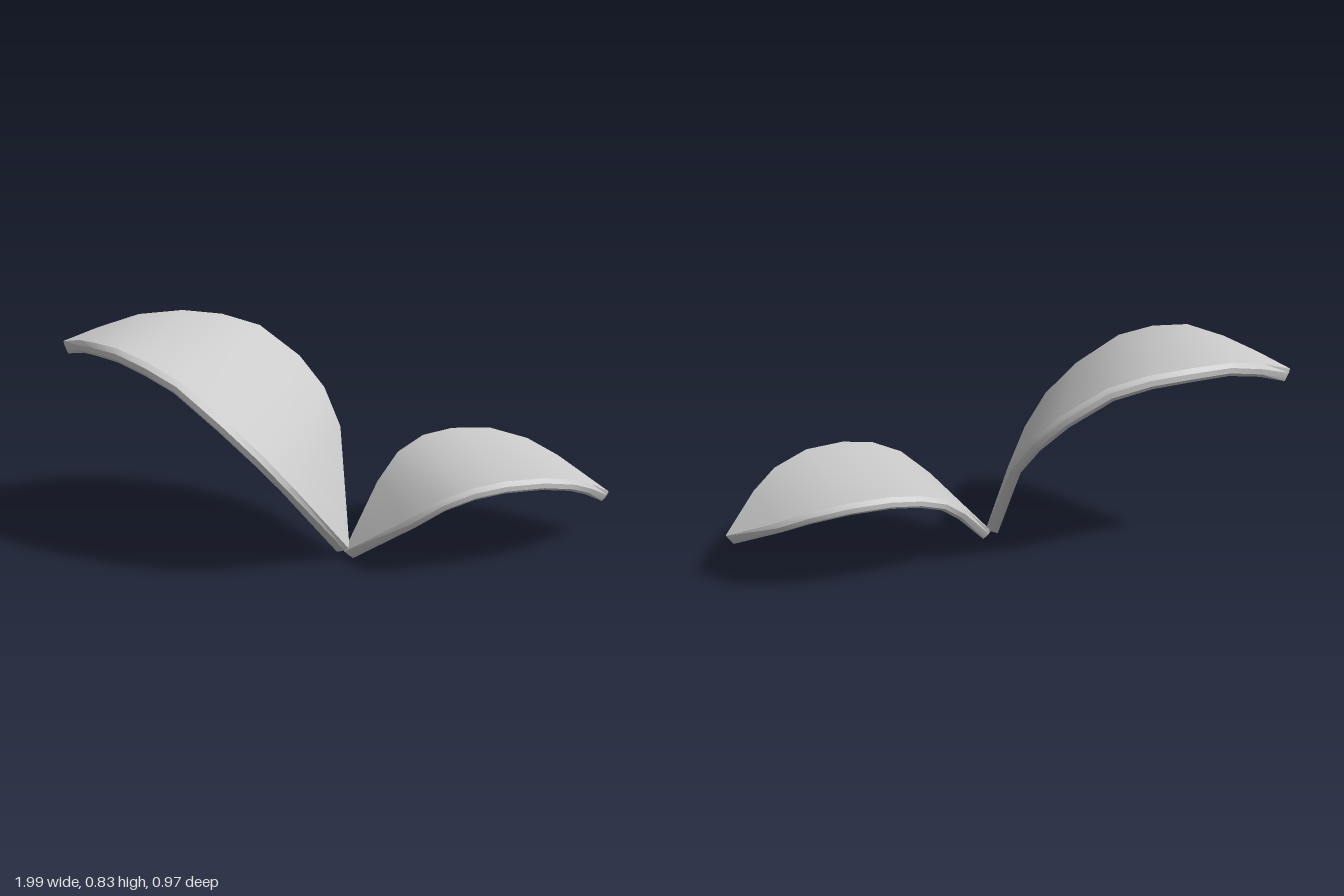
import * as THREE from 'three';
import { toCreasedNormals } from 'three/addons/utils/BufferGeometryUtils.js';

// A leaf is a thick bent sheet. Each station holds the two rim points of the
// upper surface; the sheet is straight between them.
function leafGeometry(stations, thickness, bevel) {
  const V = (x, y, z) => new THREE.Vector3(x, y, z);
  const rims = stations.map(s => [V(...s[0]), V(...s[1])]);
  const mids = rims.map(([a, b]) => a.clone().add(b).multiplyScalar(0.5));
  const last = rims.length - 1;
  const positions = [], index = [];

  rims.forEach(([a, b], i) => {
    const across = b.clone().sub(a);
    const width = across.length();
    across.normalize();
    const along = mids[Math.min(i + 1, last)].clone().sub(mids[Math.max(i - 1, 0)]);
    const normal = across.clone().cross(along).normalize();
    const inset = Math.min(bevel, width * 0.3);
    // bevelled cross-section: [distance across, depth]
    const section = [
      [inset, 1], [width - inset, 1], [width, 0.7], [width, 0.3],
      [width - inset, 0], [inset, 0], [0, 0.3], [0, 0.7],
    ];
    for (const [s, h] of section) {
      const p = a.clone().addScaledVector(across, s).addScaledVector(normal, -h * thickness);
      positions.push(p.x, p.y, p.z);
    }
  });

  const n = 8;
  for (let i = 0; i < last; i++) {
    for (let j = 0; j < n; j++) {
      const a = i * n + j, b = i * n + (j + 1) % n;
      index.push(a, a + n, b, b, a + n, b + n);
    }
  }
  // end caps
  const e = last * n;
  for (let j = 1; j < n - 1; j++) {
    index.push(0, j, j + 1, e, e + j + 1, e + j);
  }

  const geometry = new THREE.BufferGeometry();
  geometry.setAttribute('position', new THREE.Float32BufferAttribute(positions, 3));
  geometry.setIndex(index);
  return toCreasedNormals(geometry, THREE.MathUtils.degToRad(32));
}

export function createModel() {
  const group = new THREE.Group();
  const material = new THREE.MeshStandardMaterial({ color: 0xcccccc });
  const addLeaf = (name, stations, thickness) => {
    const mesh = new THREE.Mesh(leafGeometry(stations, thickness, 0.018), material);
    mesh.name = name;
    group.add(mesh);
  };

  // small leaf: x, y, back z, front z
  const small = [
    [-0.045, 0.03, 0.153, 0.167],
    [0.13, 0.225, -0.04, 0.39],
    [0.23, 0.312, -0.11, 0.45],
    [0.34, 0.359, -0.145, 0.475],
    [0.46, 0.377, -0.15, 0.48],
    [0.61, 0.372, -0.135, 0.468],
    [0.75, 0.335, -0.08, 0.42],
    [0.85, 0.282, -0.005, 0.35],
    [0.99, 0.185, 0.183, 0.197],
  ].map(([x, y, back, front]) => [[x, y, back], [x, y, front]]);
  addLeaf('smallLeaf', small, 0.045);

  // large leaf: front rim point, back rim point
  addLeaf('largeLeaf', [
    [[-0.03, 0.04, 0.17], [-0.022, 0.04, 0.155]],
    [[-0.28, 0.375, 0.355], [0.02, 0.42, -0.15]],
    [[-0.38, 0.5, 0.375], [-0.02, 0.55, -0.25]],
    [[-0.5, 0.625, 0.34], [-0.1, 0.66, -0.33]],
    [[-0.64, 0.75, 0.25], [-0.24, 0.77, -0.41]],
    [[-0.74, 0.8, 0.16], [-0.38, 0.812, -0.455]],
    [[-0.83, 0.825, 0.05], [-0.53, 0.828, -0.485]],
    [[-0.9, 0.81, -0.1], [-0.7, 0.825, -0.473]],
    [[-0.95, 0.785, -0.25], [-0.86, 0.79, -0.44]],
    [[-1.0, 0.75, -0.397], [-0.995, 0.75, -0.408]],
  ], 0.05);

  return group;
}
